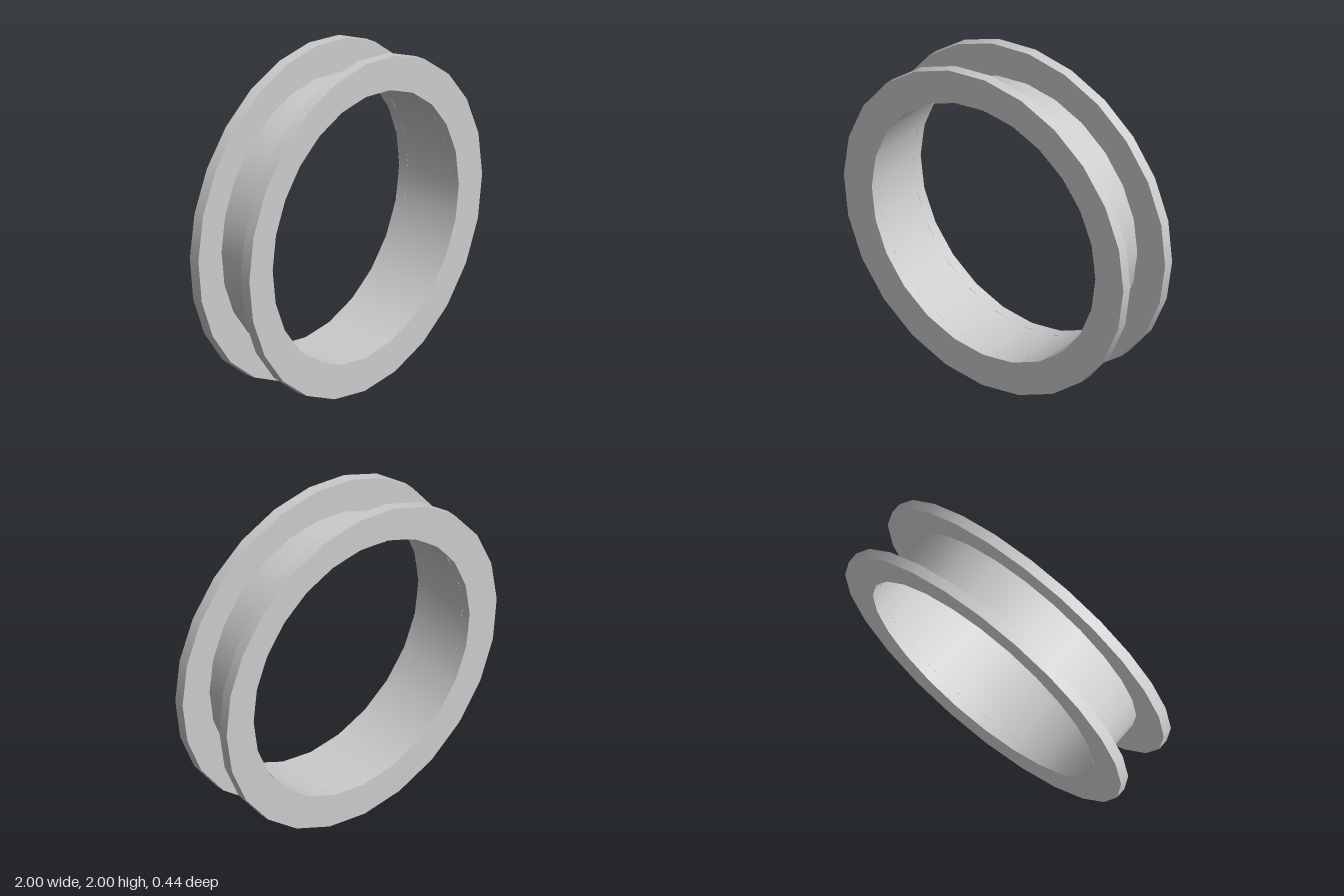
import * as THREE from 'three';
import { mergeGeometries } from 'three/addons/utils/BufferGeometryUtils.js';

const SIDES = 24, INNER = 0.8, OUTER = 1, HALF = 0.22, GAP = 0.157;

// Revolves a list of [radius, z] points around the z axis; each stretch keeps
// its own normals, so the rims stay sharp while the walls shade smoothly.
function revolve(points) {
  const strips = [];
  for (let i = 0; i < points.length - 1; i++) {
    const pair = [points[i], points[i + 1]].map(([r, z]) => new THREE.Vector2(r, z));
    strips.push(new THREE.LatheGeometry(pair, SIDES));
  }
  return mergeGeometries(strips).rotateX(Math.PI / 2);
}

export function createModel() {
  const model = new THREE.Group();
  model.name = 'flangedRing';
  const material = new THREE.MeshStandardMaterial({ color: 0xcccccc, side: THREE.DoubleSide });

  const add = (name, points, turn = 0) => {
    const mesh = new THREE.Mesh(revolve(points), material);
    mesh.name = name;
    mesh.rotation.z = THREE.MathUtils.degToRad(turn);
    mesh.position.y = OUTER;
    model.add(mesh);
  };

  // Thin open barrel running through both flanges
  add('barrel', [[INNER, -HALF], [INNER, HALF]]);

  // Flat flanges, each turned very slightly on the barrel
  add('frontFlange', [[INNER, GAP], [OUTER, GAP], [OUTER, HALF], [INNER, HALF]], -0.5);
  add('backFlange', [[INNER, -HALF], [OUTER, -HALF], [OUTER, -GAP], [INNER, -GAP]], -1.3);

  return model;
}
